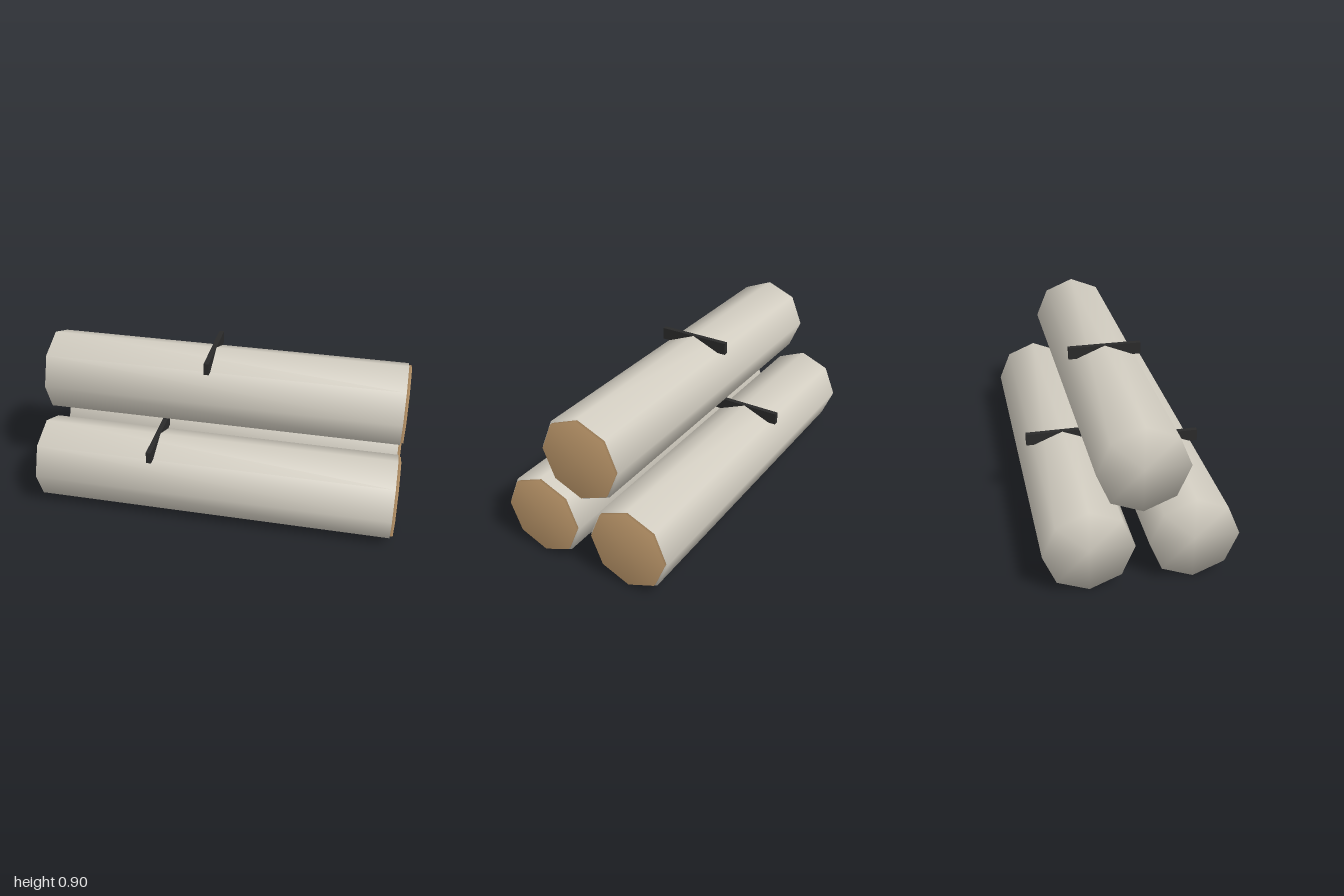
import * as THREE from 'three';
import { mergeVertices } from 'three/addons/utils/BufferGeometryUtils.js';

const bark = new THREE.MeshStandardMaterial({ name: 'paleBark', color: 0xd2cdc1 });
const wood = new THREE.MeshStandardMaterial({ name: 'cutWood', color: 0xc69f70 });
const dark = new THREE.MeshStandardMaterial({ name: 'darkMark', color: 0x2a2a2a });

// Eight-sided cylinder lying along x, with normals blended over the rims
function softCylinder(radius, x0, x1) {
  const geo = new THREE.CylinderGeometry(radius, radius, x1 - x0, 8);
  geo.rotateZ(-Math.PI / 2);
  geo.translate((x0 + x1) / 2, 0, 0);
  geo.deleteAttribute('normal');
  geo.deleteAttribute('uv');
  const merged = mergeVertices(geo, 1e-4);
  merged.computeVertexNormals();
  return merged;
}

export function createModel() {
  const model = new THREE.Group();
  model.name = 'logPile';
  const R = 0.231;
  const logGeo = softCylinder(R, -1, 0.984);
  const endGeo = softCylinder(0.22, 0.968, 1);
  const markGeo = new THREE.BoxGeometry(0.027, 0.066, 0.4);

  const part = (name, geo, mat, parent) => {
    const mesh = new THREE.Mesh(geo, mat);
    mesh.name = name;
    parent.add(mesh);
    return mesh;
  };

  // Two logs below, one resting on top: name, y, z, x of the bark mark
  const logs = [
    ['frontLog', R, 0.266, -0.34],
    ['backLog', R, -0.266, -0.21],
    ['topLog', 0.664, 0, -0.075],
  ];
  for (const [name, y, z, markX] of logs) {
    const log = new THREE.Group();
    log.name = name;
    log.position.set(0, y, z);
    part('bark', logGeo, bark, log);
    part('cutEnd', endGeo, wood, log);
    part('barkMark', markGeo, dark, log).position.set(markX, R - 0.032, 0);
    model.add(log);
  }
  return model;
}
